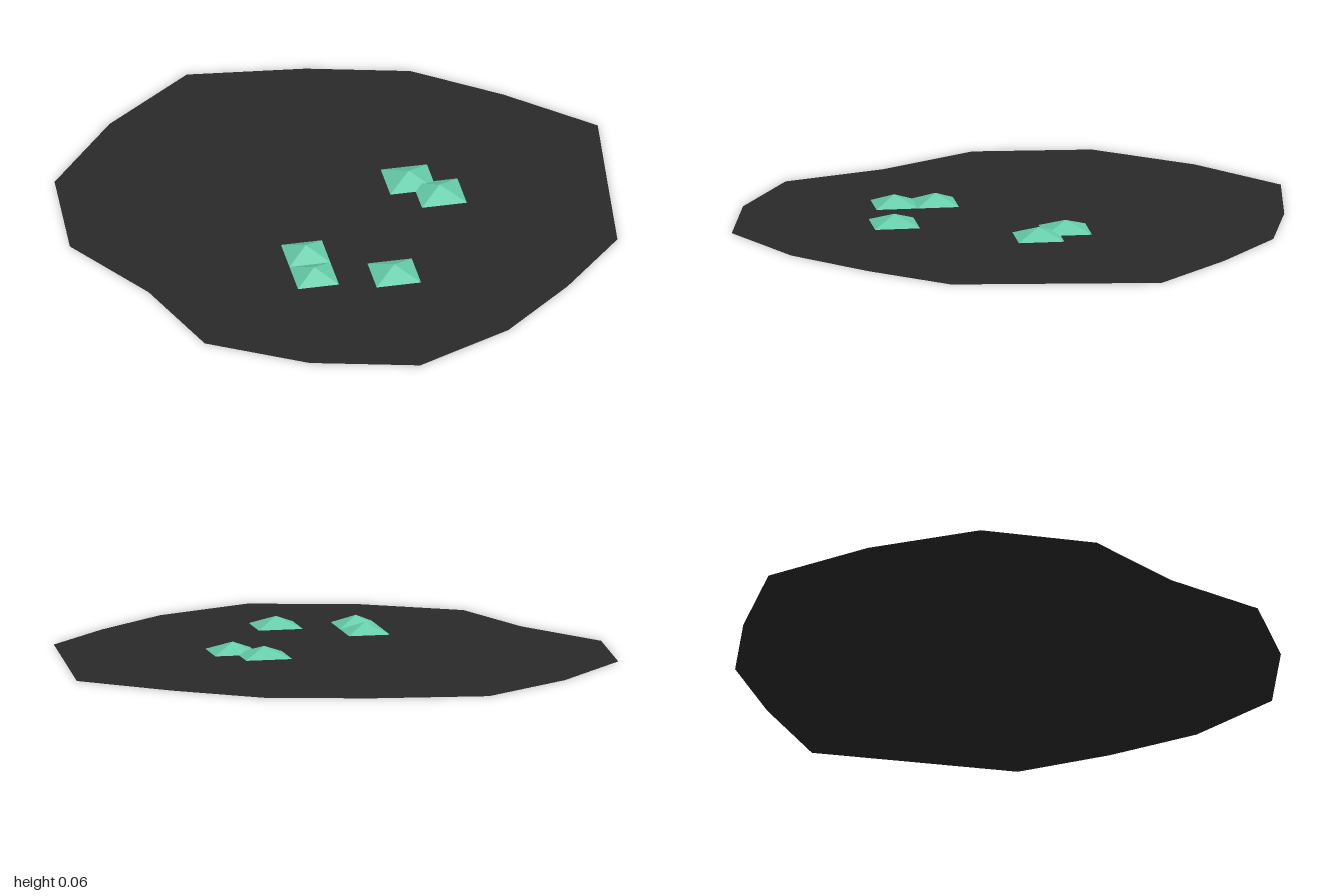
import * as THREE from 'three';

// Blob radii every 22.5 degrees, counter-clockwise from +x seen from above
const RADII = [0.88, 1.0, 0.91, 0.93, 0.95, 1.08, 1.05, 1.09, 1.04, 0.9, 1.0, 0.98, 1.0, 0.91, 0.86, 0.91];

// Flat irregular disc: a circle fan whose rim is pushed to the radii
function blob(scale) {
  const geometry = new THREE.CircleGeometry(1, RADII.length);
  const p = geometry.attributes.position;
  for (let i = 1; i < p.count; i++) {
    const r = RADII[(i - 1) % RADII.length] * scale;
    p.setXY(i, p.getX(i) * r, p.getY(i) * r);
  }
  return geometry.rotateX(-Math.PI / 2);
}

export function createModel() {
  const group = new THREE.Group();
  const charcoal = new THREE.MeshStandardMaterial({ color: 0x2a2a2a, side: THREE.DoubleSide });
  charcoal.name = 'charcoal';
  const green = new THREE.MeshStandardMaterial({ color: 0x66cdaa, flatShading: true });
  green.name = 'sea green';

  const add = (name, geometry, material, x, y, z) => {
    const mesh = new THREE.Mesh(geometry, material);
    mesh.name = name;
    mesh.position.set(x, y, z);
    group.add(mesh);
  };

  // Two stacked flat patches
  add('outerPatch', blob(1), charcoal, 0.06, 0, 0);
  add('innerPatch', blob(0.55), charcoal, 0.06, 0.01, 0);

  // Low square pyramids: x, z, base width
  const crystals = [
    [0.26, -0.148, 0.165],
    [0.348, -0.04, 0.16],
    [-0.19, 0.245, 0.146],
    [-0.19, 0.39, 0.146],
    [0.087, 0.43, 0.158],
  ];
  const height = 0.036;
  crystals.forEach(([x, z, width], i) => {
    const geometry = new THREE.ConeGeometry(width / Math.SQRT2, height, 4, 1, false, Math.PI / 4);
    add('crystal' + (i + 1), geometry, green, x, 0.02 + height / 2, z);
  });

  return group;
}
